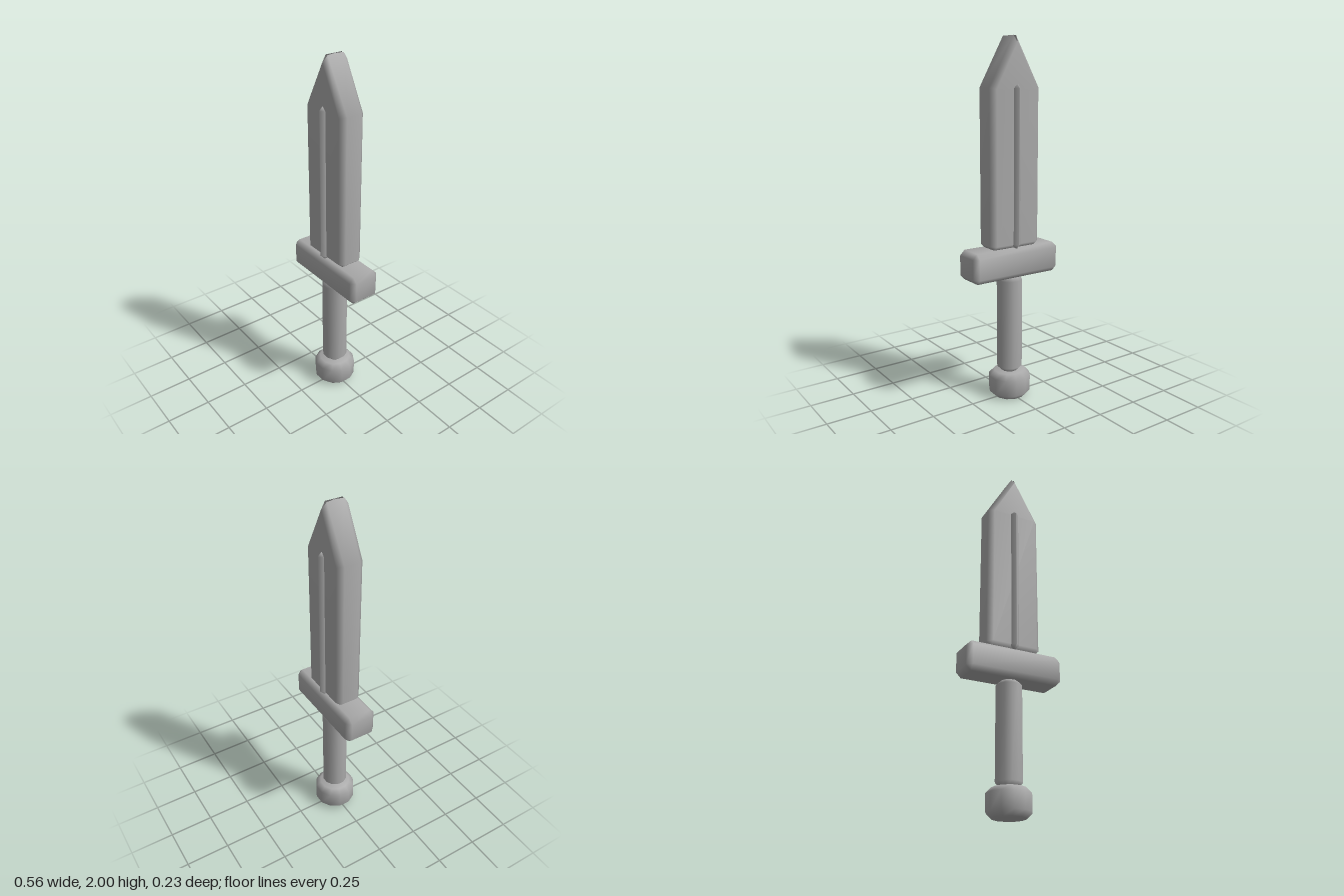
import * as THREE from 'three';
import { mergeVertices } from 'three/addons/utils/BufferGeometryUtils.js';

// Skin a stack of rings (bottom to top, anticlockwise from above) with capped ends
function loft(rings, bottomY, topY) {
  const n = rings[0].length, pos = rings.flat(2), idx = [];
  for (let r = 0; r < rings.length - 1; r++) {
    for (let i = 0; i < n; i++) {
      const a = r * n + i, b = r * n + (i + 1) % n;
      idx.push(a, b, b + n, a, b + n, a + n);
    }
  }
  const low = rings.length * n, top = (rings.length - 1) * n;
  pos.push(0, bottomY, 0, 0, topY, 0);
  for (let i = 0; i < n; i++) {
    const j = (i + 1) % n;
    idx.push(low, j, i, low + 1, top + i, top + j);
  }
  const g = new THREE.BufferGeometry();
  g.setAttribute('position', new THREE.Float32BufferAttribute(pos, 3));
  g.setIndex(idx);
  const merged = mergeVertices(g, 1e-4);
  merged.computeVertexNormals();
  return merged;
}

// Eight-cornered ring: hx, hz are outer half sizes, ix, iz the corner cuts
const octagon = (hx, ix, hz, iz, ySide, yFace = ySide) => [
  [hx, ySide, -iz], [ix, yFace, -hz], [-ix, yFace, -hz], [-hx, ySide, -iz],
  [-hx, ySide, iz], [-ix, yFace, hz], [ix, yFace, hz], [hx, ySide, iz],
];

// Box with every edge cut by c
function chamferBox(hx, hz, y0, y1, c) {
  const ix = hx - c, iz = hz - c;
  return loft([
    octagon(ix, ix, iz, iz, y0),
    octagon(hx, ix, hz, iz, y0 + c),
    octagon(hx, ix, hz, iz, y1 - c),
    octagon(ix, ix, iz, iz, y1),
  ], y0, y1);
}

// Twelve-sided post with cut ends
function chamferPost(radius, y0, y1, c) {
  const ring = (r, y) => Array.from({ length: 12 }, (_, i) => {
    const a = (i + 0.5) * Math.PI / 6;
    return [r * Math.cos(a), y, -r * Math.sin(a)];
  });
  return loft([
    ring(radius - c, y0), ring(radius, y0 + c),
    ring(radius, y1 - c), ring(radius - c, y1),
  ], y0, y1);
}

export function createModel() {
  const group = new THREE.Group();
  group.name = 'sword';
  const grey = new THREE.MeshStandardMaterial({ color: 0xaaaaaa });
  grey.name = 'grey';

  const add = (name, geometry) => {
    const mesh = new THREE.Mesh(geometry, grey);
    mesh.name = name;
    group.add(mesh);
  };

  // Blade: straight sides, then a point whose top is a short ridge along z
  add('blade', loft([
    octagon(0.13, 0.13, 0.045, 0.045, 0.875),
    octagon(0.158, 0.13, 0.074, 0.045, 0.9),
    octagon(0.158, 0.13, 0.074, 0.045, 1.735, 1.725),
    octagon(0.008, 0.001, 0.074, 0.048, 2, 1.965),
  ], 0.875, 2));

  // Raised rib running through the blade to both faces
  add('bladeRib', chamferBox(0.027, 0.094, 0.875, 1.755, 0.024));

  // Hilt
  add('guard', chamferBox(0.279, 0.092, 0.71, 0.877, 0.028));
  add('grip', chamferPost(0.072, 0.15, 0.712, 0.026));
  add('pommel', chamferPost(0.119, 0, 0.15, 0.03));

  return group;
}
